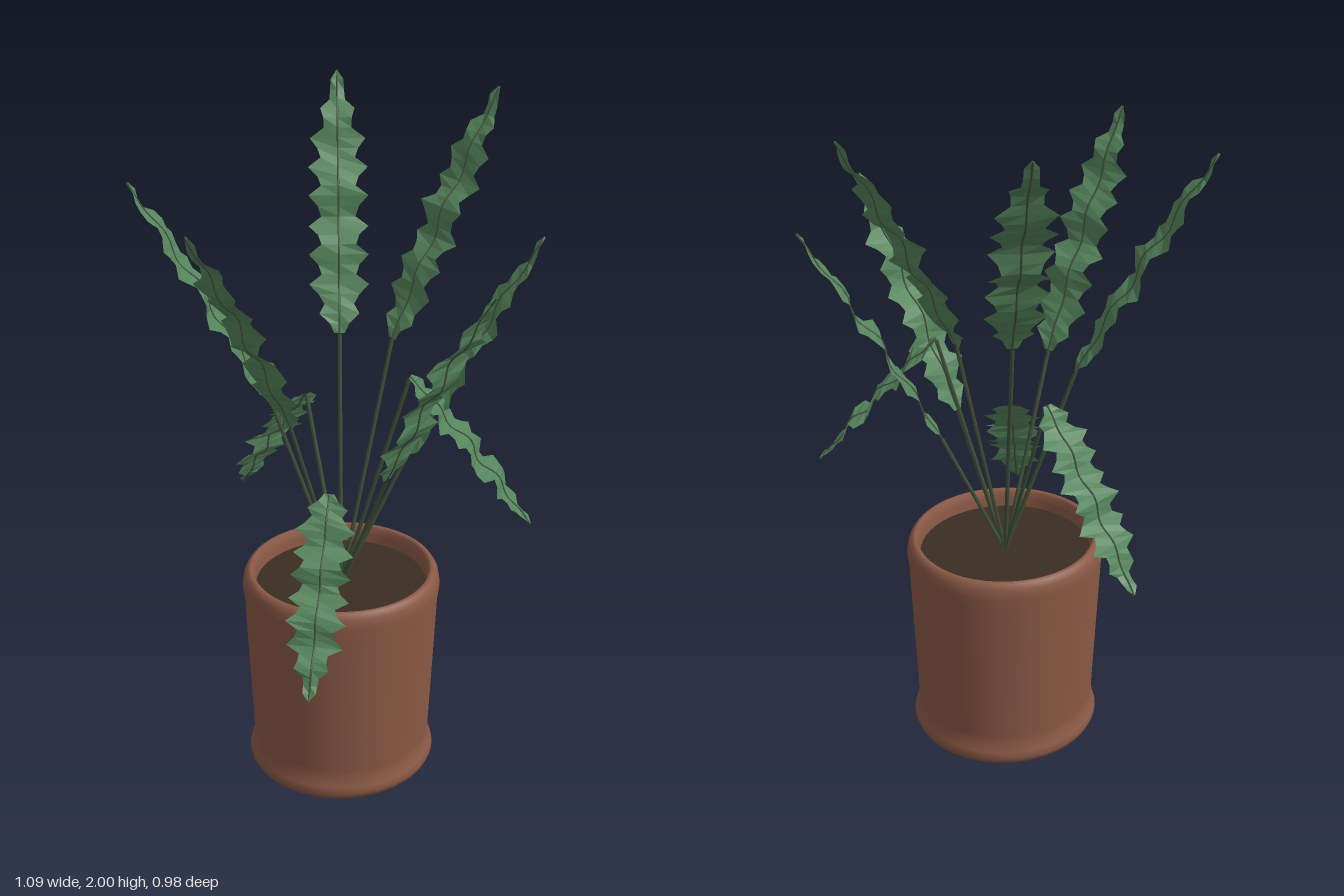
import * as THREE from 'three';

const terracotta = new THREE.MeshStandardMaterial({ color: 0x8c5a46 });
const soilBrown = new THREE.MeshStandardMaterial({ color: 0x3a2d23 });
const stemGreen = new THREE.MeshStandardMaterial({ color: 0x40523a });
const leafGreen = new THREE.MeshStandardMaterial({ color: 0x55855c, side: THREE.DoubleSide, flatShading: true });

const TEETH = 9, STEPS = TEETH * 3;

// Each leaf: blade base and tip positions
const LEAVES = [
  [[0.01, 1.36, -0.14], [0.04, 2.0, -0.49]],
  [[0.15, 1.36, -0.09], [0.455, 2.0, -0.27]],
  [[0.18, 1.03, 0.0], [0.54, 1.67, 0.0]],
  [[0.18, 1.31, 0.055], [0.505, 0.9, 0.175]],
  [[0.11, 1.04, 0.135], [0.33, 1.67, 0.4]],
  [[-0.05, 1.02, 0.16], [-0.14, 0.575, 0.485]],
  [[-0.15, 1.21, 0.12], [-0.405, 1.83, 0.34]],
  [[-0.19, 1.21, -0.03], [-0.545, 1.83, -0.08]],
  [[-0.085, 1.18, -0.14], [-0.26, 0.74, -0.44]],
];

function lathe(points, material, name) {
  const mesh = new THREE.Mesh(new THREE.LatheGeometry(points.map(p => new THREE.Vector2(...p)), 48), material);
  mesh.scale.z = 0.925; // slightly oval pot
  mesh.name = name;
  return mesh;
}

// Serrated, gently rippled blade with a rib along its centre
function makeLeaf(base, tip, index) {
  const group = new THREE.Group();
  const along = tip.clone().sub(base).normalize();
  const side = new THREE.Vector3(-tip.z, 0, tip.x).normalize();
  const normal = side.clone().cross(along).normalize();
  if (normal.y < 0) normal.negate();

  const centre = t => base.clone().lerp(tip, t)
    .addScaledVector(normal, 0.012 * Math.sin(t * Math.PI * 8 + index) * Math.sin(Math.PI * t) + 0.01 * Math.sin(Math.PI * t));

  const positions = [], indices = [], rib = [];
  for (let i = 0; i <= STEPS; i++) {
    const t = i / STEPS;
    const c = centre(t);
    rib.push(c);
    const envelope = Math.min(1, 0.3 + t * 5, 0.1 + (1 - t) * 3.2);
    const tooth = [0.048, 0.057, 0.083][i % 3];
    const width = i === STEPS ? 0.001 : tooth * envelope;
    for (const s of [-1, 0, 1]) {
      const v = c.clone().addScaledVector(side, s * width)
        .addScaledVector(normal, Math.abs(s) * 0.006 * Math.sin(t * 40));
      positions.push(v.x, v.y, v.z);
    }
    if (i < STEPS) for (const k of [0, 1]) {
      const a = i * 3 + k;
      indices.push(a, a + 1, a + 3, a + 1, a + 4, a + 3);
    }
  }
  const geometry = new THREE.BufferGeometry();
  geometry.setAttribute('position', new THREE.Float32BufferAttribute(positions, 3));
  geometry.setIndex(indices);
  geometry.computeVertexNormals();
  const blade = new THREE.Mesh(geometry, leafGreen);
  blade.name = 'leafBlade';

  // Stem rising from the soil, then the midrib
  const root = new THREE.Vector3(0, 0.63, 0);
  const stem = new THREE.Mesh(new THREE.TubeGeometry(new THREE.LineCurve3(root, base), 4, 0.006, 6), stemGreen);
  stem.name = 'stem';
  const midrib = new THREE.Mesh(
    new THREE.TubeGeometry(new THREE.CatmullRomCurve3(rib), 40, 0.003, 5), stemGreen);
  midrib.name = 'midrib';

  group.add(blade, stem, midrib);
  group.name = 'leaf';
  return group;
}

export function createModel() {
  const model = new THREE.Group();
  model.name = 'pottedPlant';

  // Pot with flared foot, rounded rim and inner wall
  model.add(lathe([
    [0, 0], [0.22, 0], [0.24, 0.008], [0.272, 0.035], [0.28, 0.055], [0.275, 0.075], [0.264, 0.1], [0.265, 0.13],
    [0.282, 0.6], [0.287, 0.64], [0.282, 0.67], [0.272, 0.686], [0.262, 0.69], [0.254, 0.684], [0.25, 0.66], [0.247, 0.61],
  ], terracotta, 'pot'));
  model.add(lathe([[0.25, 0.635], [0, 0.64]], soilBrown, 'soil'));

  LEAVES.forEach(([base, tip], i) =>
    model.add(makeLeaf(new THREE.Vector3(...base), new THREE.Vector3(...tip), i)));
  return model;
}
